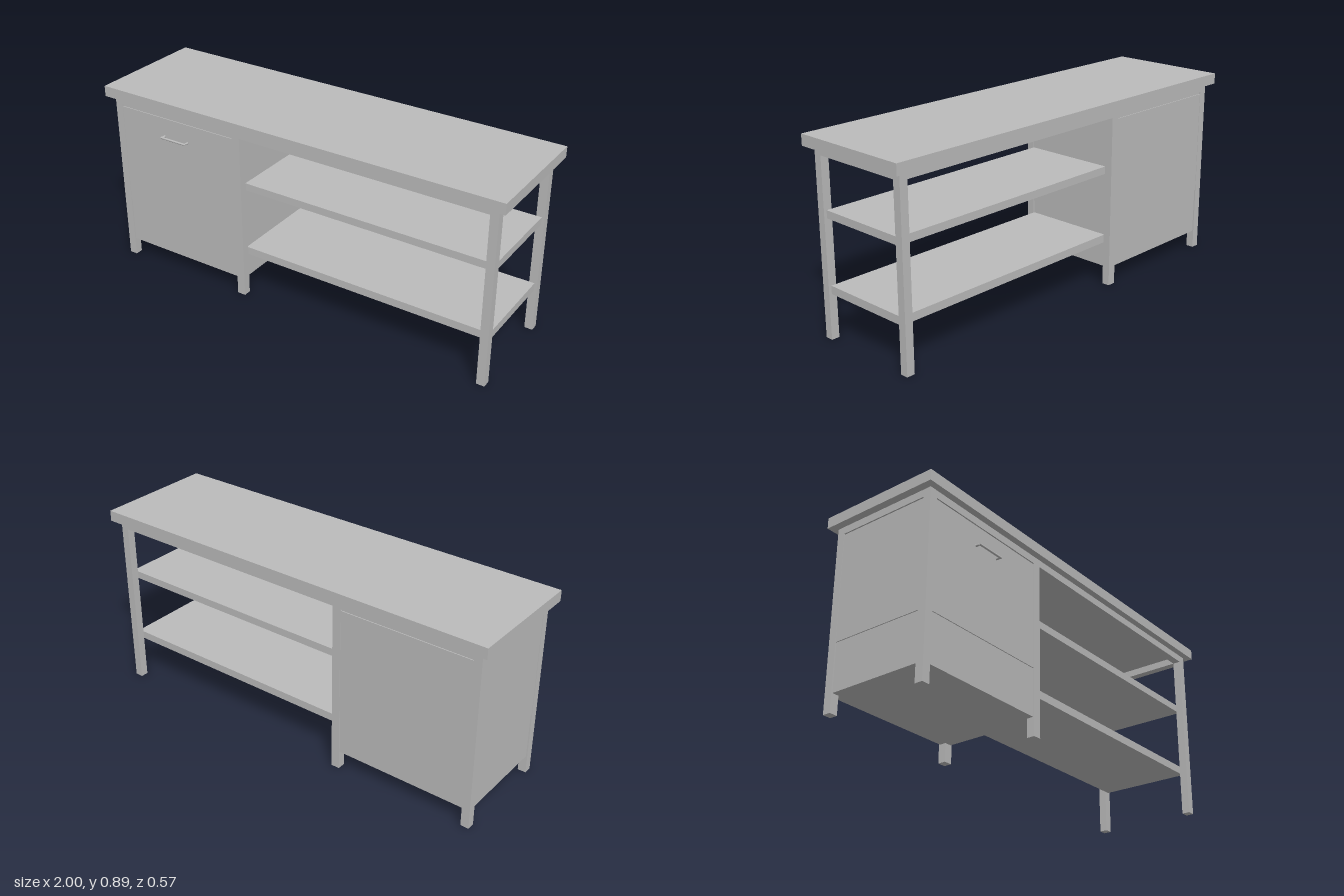
import * as THREE from 'three';

export function createModel() {
  const model = new THREE.Group();
  model.name = 'workbench';
  const steel = new THREE.MeshStandardMaterial({ color: 0xbbbbbb });
  steel.name = 'plain grey';

  // Box given by its minimum and maximum corners
  function box(name, [x0, y0, z0], [x1, y1, z1], parent = model) {
    const mesh = new THREE.Mesh(new THREE.BoxGeometry(x1 - x0, y1 - y0, z1 - z0), steel);
    mesh.position.set((x0 + x1) / 2, (y0 + y1) / 2, (z0 + z1) / 2);
    mesh.name = name;
    parent.add(mesh);
    return mesh;
  }

  const railY = 0.802, topY = 0.836, Z = 0.257, zIn = 0.22;
  const legSpans = [[-0.966, -0.928], [-0.303, -0.263], [0.925, 0.963]];

  // Worktop
  box('worktop', [-1, topY, -0.287], [1, 0.886, 0.287]);

  // Three pairs of legs, each joined by a cross rail
  for (const [a, b] of legSpans) {
    box('frontLeg', [a, 0, zIn], [b, topY, Z]);
    box('backLeg', [a, 0, -Z], [b, topY, -zIn]);
    box('crossRail', [a, railY, -zIn], [b, topY, zIn]);
  }

  // Long rails between the legs, front and back
  for (let i = 0; i < 2; i++) {
    const a = legSpans[i][1], b = legSpans[i + 1][0];
    box('frontRail', [a, railY, zIn], [b, topY, Z]);
    box('backRail', [a, railY, -Z], [b, topY, -zIn]);
  }

  // Open shelves
  for (const [y0, y1] of [[0.204, 0.241], [0.535, 0.57]]) {
    box('shelf', [-0.27, y0, -zIn], [0.95, y1, zIn]);
  }

  // Cabinet: recessed body with slightly raised panels on all four sides
  const cabinet = new THREE.Group();
  cabinet.name = 'cabinet';
  model.add(cabinet);
  const x0 = legSpans[0][0], x1 = legSpans[1][1];
  const inX0 = legSpans[0][1], inX1 = legSpans[1][0];
  const body = 0.006, raised = 0.002, low = 0.303, high = 0.791;
  box('cabinetBodyLengthwise', [inX0, 0.085, -Z + body], [inX1, railY, Z - body], cabinet);
  box('cabinetBodyCrosswise', [x0 + body, 0.085, -zIn], [x1 - body, railY, zIn], cabinet);
  box('cabinetDoor', [inX0, low, Z - body], [inX1, high, Z - raised], cabinet);
  box('backPanel', [inX0, low, -Z + raised], [inX1, high, -Z + body], cabinet);
  box('rightPanel', [x0 + raised, low, -zIn], [x0 + body, high, zIn], cabinet);
  box('leftPanel', [x1 - body, low, -zIn], [x1 - raised, high, zIn], cabinet);

  // Door handle: bar on two posts
  const handle = new THREE.Group();
  handle.name = 'handle';
  model.add(handle);
  const r = 0.005, barZ = 0.276;
  const bar = new THREE.Mesh(new THREE.CylinderGeometry(r, r, 0.14, 12), steel);
  bar.name = 'handleBar';
  bar.rotation.z = Math.PI / 2;
  bar.position.set(-0.62, 0.703, barZ);
  handle.add(bar);
  for (const side of [-1, 1]) {
    const post = new THREE.Mesh(new THREE.CylinderGeometry(r, r, 0.024, 12), steel);
    post.name = 'handlePost';
    post.rotation.x = Math.PI / 2;
    post.position.set(-0.62 + side * 0.065, 0.703, barZ - 0.011);
    handle.add(post);
  }

  return model;
}
